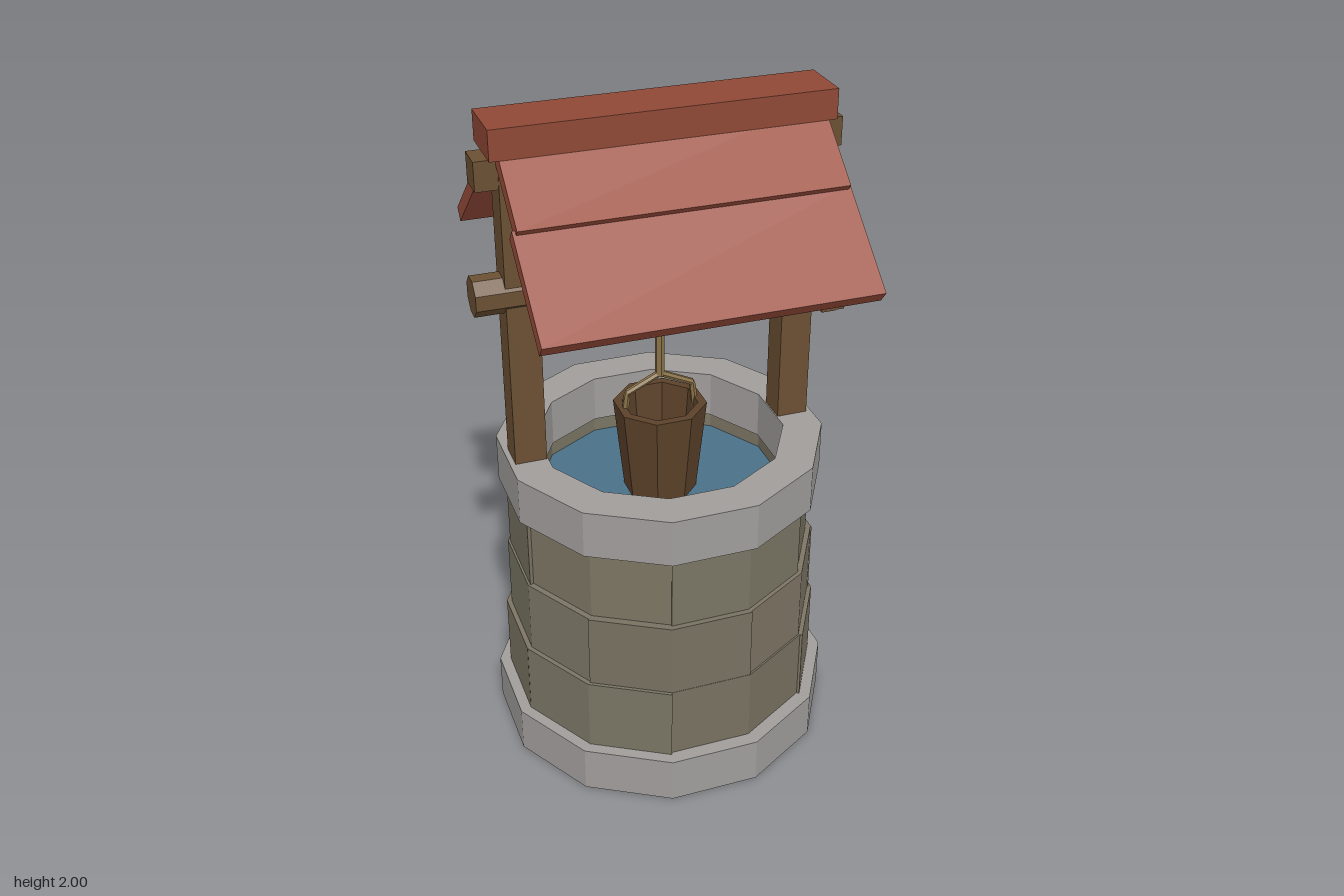
import * as THREE from 'three';

const SIDES = 12;
const mat = (color) => new THREE.MeshStandardMaterial({ color, flatShading: true });
const WOOD = mat(0x6b4f33), DARK_WOOD = mat(0x5c422a), ROPE = mat(0x8a7248);
const ROOF = mat(0x9b4d3b), CAP = mat(0x8f4836), TRIM = mat(0xa09d9b), WATER = mat(0x4a7088);
const STONES = [mat(0x7a7564), mat(0x777160), mat(0x7d7564)];

function add(parent, name, geometry, material, x = 0, y = 0, z = 0) {
  const mesh = new THREE.Mesh(geometry, material);
  mesh.name = name;
  mesh.position.set(x, y, z);
  parent.add(mesh);
  return mesh;
}

const box = (w, h, d) => new THREE.BoxGeometry(w, h, d);

// Corner k of the twelve-sided plan, given the distance to its flat sides
function corner(k, apothem) {
  const a = ((k + 0.5) * 2 * Math.PI) / SIDES;
  const r = apothem / Math.cos(Math.PI / SIDES);
  return new THREE.Vector2(r * Math.cos(a), r * Math.sin(a));
}

function corners(first, count, apothem) {
  return Array.from({ length: count }, (_, i) => corner(first + i, apothem));
}

// Plan shape raised upwards from y = 0
function raise(shape, height) {
  return new THREE.ExtrudeGeometry(shape, { depth: height, bevelEnabled: false }).rotateX(-Math.PI / 2);
}

function seeded(seed) {
  return () => {
    seed = (seed * 16807) % 2147483647;
    return seed / 2147483647;
  };
}

function buildWall(well) {
  const wall = new THREE.Group();
  wall.name = 'stoneWall';
  well.add(wall);

  add(wall, 'base', raise(new THREE.Shape(corners(0, SIDES, 0.5)), 0.145), TRIM);

  // Three courses of stones, each two sides long, with staggered joints
  const random = seeded(17);
  [0.463, 0.452, 0.441].forEach((apothem, row) => {
    for (let k = 0; k < SIDES; k += 2) {
      const first = k + (row % 2);
      const outer = corners(first, 3, apothem + (random() - 0.5) * 0.012);
      const inner = corners(first, 3, 0.36).reverse();
      const stone = raise(new THREE.Shape([...outer, ...inner]), 0.232);
      add(wall, 'stone', stone, STONES[(k / 2 + row) % 3], 0, 0.145 + row * 0.232, 0);
    }
  });

  // Rim ring
  const ring = new THREE.Shape(corners(0, SIDES, 0.467));
  ring.holes.push(new THREE.Path(corners(0, SIDES, 0.355)));
  add(wall, 'rim', raise(ring, 0.145), TRIM, 0, 0.84, 0);

  add(wall, 'water', raise(new THREE.Shape(corners(0, SIDES, 0.362)), 0.02), WATER, 0, 0.775, 0);
}

function buildFrame(well) {
  for (const side of [-1, 1]) {
    add(well, side > 0 ? 'leftPost' : 'rightPost', box(0.093, 0.96, 0.09), WOOD, side * 0.405, 1.425, 0);
  }
  add(well, 'ridgeBeam', box(1.03, 0.083, 0.084), WOOD, 0, 1.863, 0);
}

function buildRoof(well) {
  const roof = new THREE.Group();
  roof.name = 'roof';
  well.add(roof);

  // Two overlapping boards on each slope
  for (const turn of [0, Math.PI]) {
    const slope = new THREE.Group();
    slope.name = turn ? 'backSlope' : 'frontSlope';
    slope.rotation.y = turn;
    roof.add(slope);
    add(slope, 'upperBoard', box(0.911, 0.046, 0.265), ROOF, 0, 1.853, 0.12).rotation.x = 0.69;
    add(slope, 'lowerBoard', box(0.928, 0.043, 0.325), ROOF, 0, 1.66, 0.325).rotation.x = 0.69;
  }
  add(roof, 'ridgeCap', box(0.96, 0.085, 0.168), CAP, -0.002, 1.9575, 0);
}

function buildWinch(well) {
  const winch = new THREE.Group();
  winch.name = 'winch';
  winch.position.y = 1.51;
  well.add(winch);

  const roller = (r, length) =>
    new THREE.CylinderGeometry(r, r, length, 8).rotateY(Math.PI / 8).rotateZ(Math.PI / 2);
  add(winch, 'axle', roller(0.057, 1.035), WOOD, -0.017, 0, 0);
  add(winch, 'ropeCoil', roller(0.074, 0.153), ROPE);

  // Crank arm and grip on the left end
  add(winch, 'crankArm', box(0.045, 0.225, 0.045), WOOD, 0.518, -0.0975, 0);
  add(winch, 'crankGrip', box(0.03, 0.042, 0.042), WOOD, 0.553, -0.188, 0);
}

function buildBucket(well) {
  const bucket = new THREE.Group();
  bucket.name = 'bucket';
  well.add(bucket);

  // Open, tapered pail with a thick wall
  const profile = [[0, 0.79], [0.108, 0.79], [0.138, 1.083], [0.112, 1.083], [0.092, 0.83], [0, 0.83]];
  const pail = new THREE.LatheGeometry(profile.map(([r, y]) => new THREE.Vector2(r, y)), 8, Math.PI / 8);
  add(bucket, 'pail', pail, DARK_WOOD);

  // Bent handle made of straight rods, and the rope above it
  const path = new THREE.CurvePath();
  const points = [[-0.11, 1.04], [-0.1, 1.13], [0, 1.178], [0.1, 1.13], [0.11, 1.04]]
    .map(([x, y]) => new THREE.Vector3(x, y, 0));
  for (let i = 1; i < points.length; i++) path.add(new THREE.LineCurve3(points[i - 1], points[i]));
  add(bucket, 'handle', new THREE.TubeGeometry(path, 40, 0.01, 6), ROPE);
  add(bucket, 'rope', new THREE.CylinderGeometry(0.014, 0.014, 0.31, 6), ROPE, 0, 1.325, 0);
}

export function createModel() {
  const model = new THREE.Group();
  model.name = 'well';

  // The crank overhangs one side, so the well sits slightly off centre
  const well = new THREE.Group();
  well.name = 'wellBody';
  well.position.x = -0.018;
  model.add(well);

  buildWall(well);
  buildFrame(well);
  buildRoof(well);
  buildWinch(well);
  buildBucket(well);
  return model;
}
